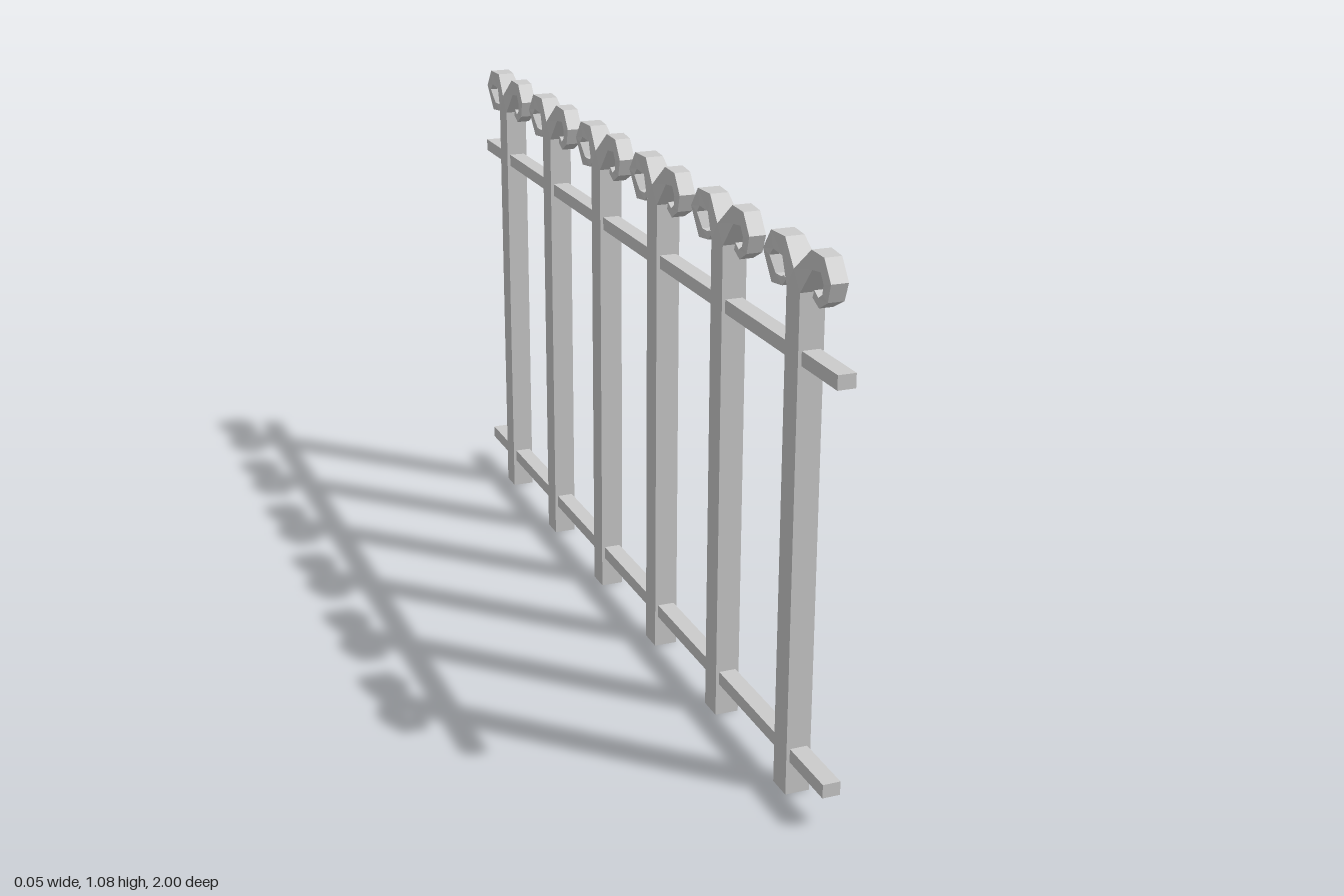
import * as THREE from 'three';

const material = new THREE.MeshStandardMaterial({ color: 0xcccccc, flatShading: true });

function addBox(parent, name, w, h, d, y, z) {
  const mesh = new THREE.Mesh(new THREE.BoxGeometry(w, h, d), material);
  mesh.name = name;
  mesh.position.set(0, y, z);
  parent.add(mesh);
}

// Scroll stations: [outer z, outer y, inner z, inner y, half width]
const frontScroll = [
  [0, 1.035, 0, 0.998, 0.025],
  [0, 1.035, 0.027, 0.998, 0.025],
  [0.055, 1.083, 0.06, 1.048, 0.019],
  [0.1, 1.08, 0.088, 1.051, 0.017],
  [0.128, 1.04, 0.1, 1.033, 0.017],
  [0.116, 1.004, 0.095, 1.013, 0.016],
  [0.08, 0.984, 0.076, 1.002, 0.014],
  [0.05, 0.995, 0.056, 1.01, 0.012],
];
const backScroll = [
  [0, 1.035, 0, 0.998, 0.025],
  [0, 1.035, -0.027, 0.998, 0.025],
  [-0.05, 1.08, -0.06, 1.043, 0.019],
  [-0.1, 1.081, -0.09, 1.048, 0.023],
  [-0.128, 1.04, -0.1, 1.034, 0.025],
  [-0.106, 0.981, -0.09, 1.002, 0.017],
  [-0.07, 0.984, -0.073, 1.0, 0.013],
  [-0.055, 1.0, -0.066, 1.004, 0.012],
];

// Lofts four-cornered sections along a scroll; side is the z direction it leaves the post
function scrollGeometry(stations, side) {
  const positions = [];
  const index = [];
  for (const [oz, oy, iz, iy, half] of stations) {
    const w = half * side;
    positions.push(w, oy, oz, -w, oy, oz, -w, iy, iz, w, iy, iz);
  }
  for (let s = 0; s < stations.length - 1; s++) {
    for (let k = 0; k < 4; k++) {
      const a = s * 4 + k, b = s * 4 + (k + 1) % 4;
      index.push(a, b, b + 4, a, b + 4, a + 4);
    }
  }
  const e = (stations.length - 1) * 4;
  index.push(e, e + 1, e + 2, e, e + 2, e + 3);
  const indexed = new THREE.BufferGeometry();
  indexed.setAttribute('position', new THREE.Float32BufferAttribute(positions, 3));
  indexed.setIndex(index);
  const geometry = indexed.toNonIndexed();
  geometry.computeVertexNormals();
  return geometry;
}

export function createModel() {
  const fence = new THREE.Group();
  fence.name = 'fence';

  // Horizontal rails
  addBox(fence, 'lowerRail', 0.036, 0.028, 2, 0.083, 0);
  addBox(fence, 'upperRail', 0.036, 0.028, 2, 0.877, 0);

  // Posts, each topped by a pair of curled scrolls
  const scrolls = {
    frontScroll: scrollGeometry(frontScroll, 1),
    backScroll: scrollGeometry(backScroll, -1),
  };
  for (let i = 0; i < 6; i++) {
    const post = new THREE.Group();
    post.name = 'post' + (i + 1);
    post.position.z = (i - 2.5) / 3;
    addBox(post, 'shaft', 0.05, 1, 0.054, 0.5, 0);
    for (const [name, geometry] of Object.entries(scrolls)) {
      const mesh = new THREE.Mesh(geometry, material);
      mesh.name = name;
      post.add(mesh);
    }
    fence.add(post);
  }
  return fence;
}
